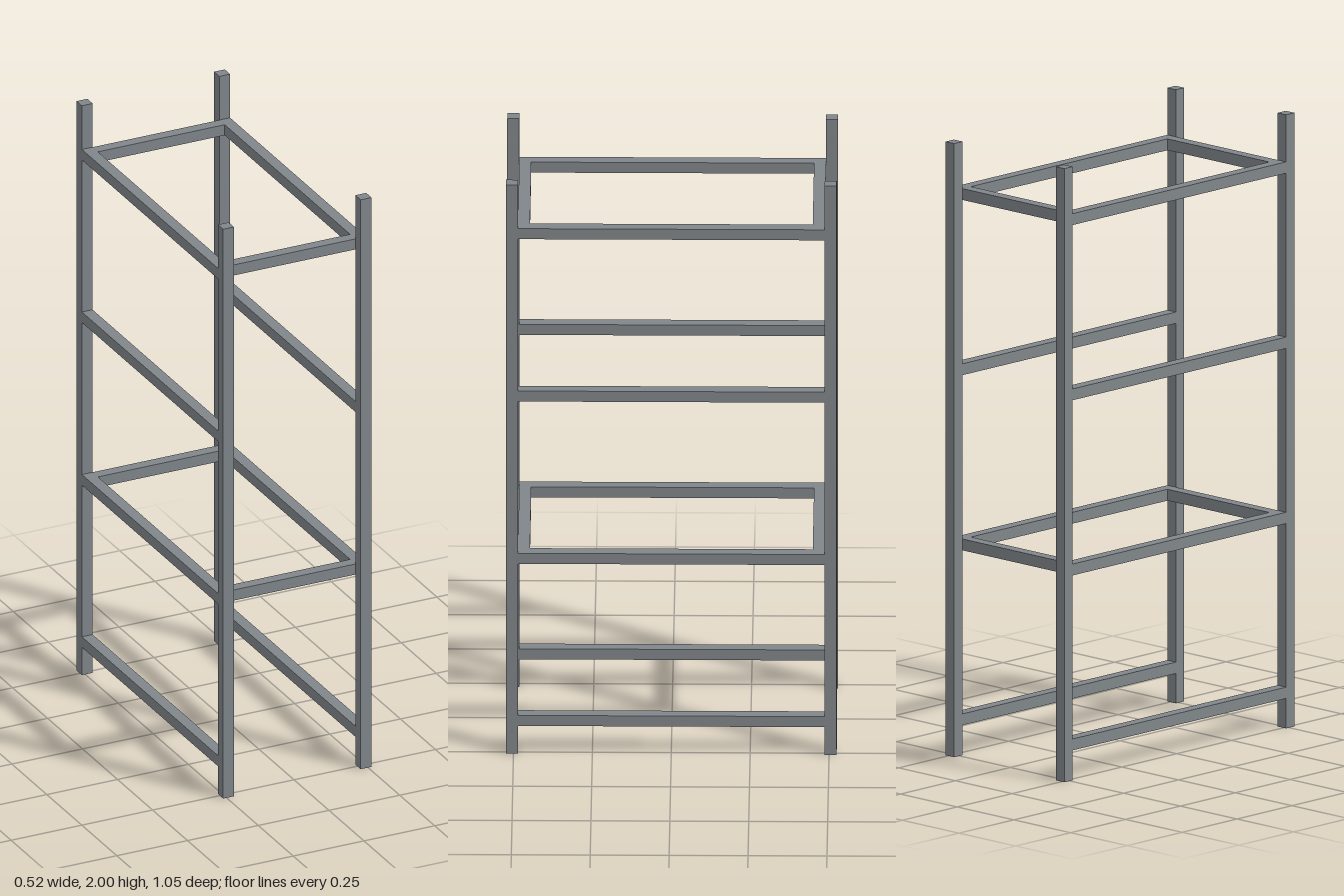
import * as THREE from 'three';

export function createModel() {
  const group = new THREE.Group();
  const steel = new THREE.MeshStandardMaterial({ color: 0x80868a });
  steel.name = 'grey steel';

  const T = 0.038;                       // tube thickness
  const H = 0.037;                       // rail height
  const PX = 0.243, PZ = 0.505;          // post centres
  const innerX = PX - T / 2, innerZ = PZ - T / 2;
  const levels = [0.116, 0.686, 1.257, 1.828];
  const crossLevels = [levels[1], levels[3]];

  const bar = (name, w, h, d, x, y, z) => {
    const mesh = new THREE.Mesh(new THREE.BoxGeometry(w, h, d), steel);
    mesh.name = name;
    mesh.position.set(x, y, z);
    group.add(mesh);
  };

  for (const s of [-1, 1]) {
    const side = s > 0 ? 'left' : 'right';
    const end = s > 0 ? 'front' : 'back';

    // Corner posts
    for (const e of [-1, 1]) bar(side + (e > 0 ? 'Front' : 'Back') + 'Post', T, 2, T, s * PX, 1, e * PZ);

    // Long rails between front and back posts
    levels.forEach((y, i) => bar(`${side}Rail${i + 1}`, T, H, innerZ * 2, s * PX, y, 0));

    // Cross bars between the long rails, set just inside the posts
    crossLevels.forEach((y, i) => bar(`${end}CrossBar${i + 1}`, innerX * 2, H, T, 0, y, s * (innerZ - T / 2)));
  }
  return group;
}
